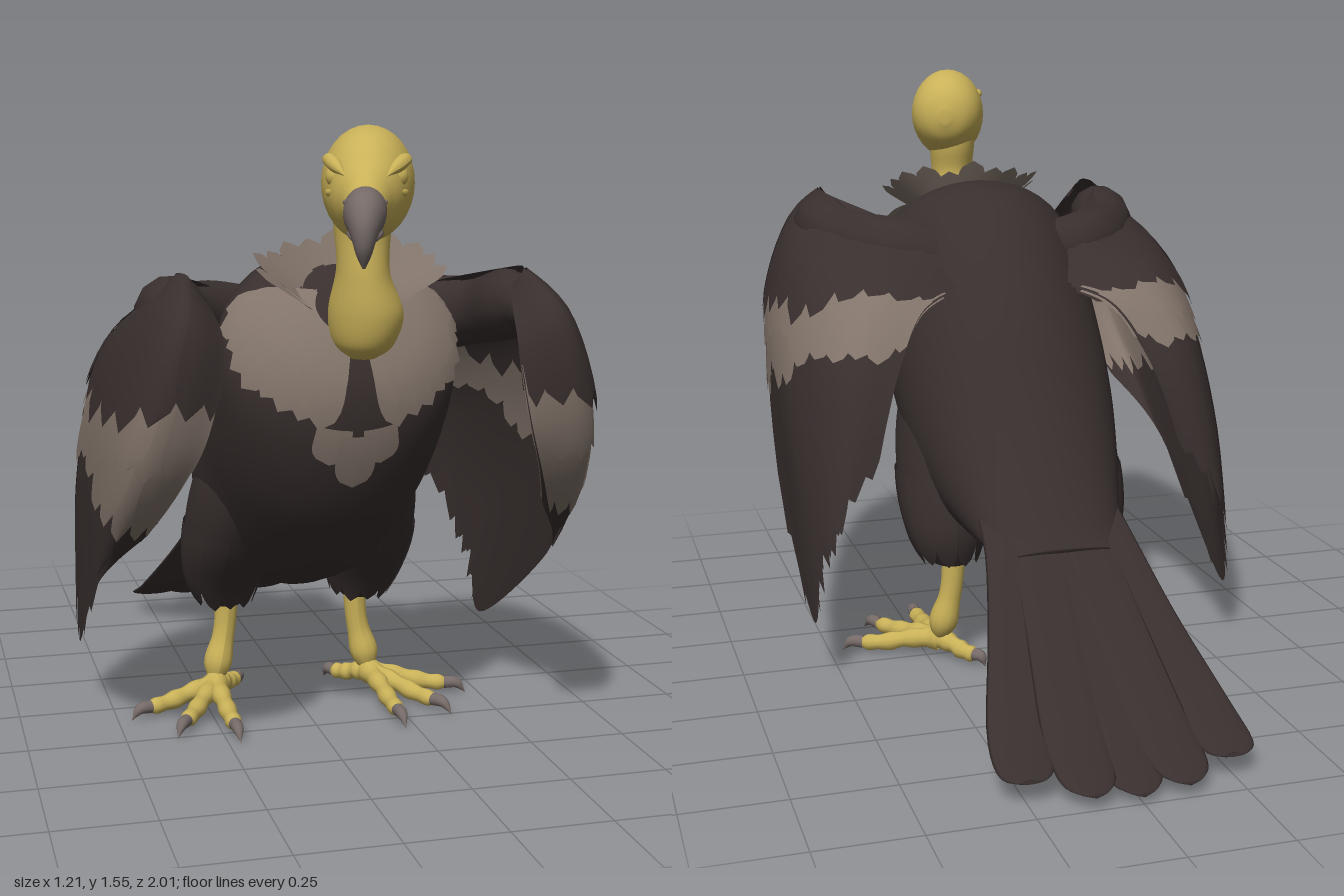
import * as THREE from 'three';
import { mergeGeometries } from 'three/addons/utils/BufferGeometryUtils.js';

const mat = (name, color) => Object.assign(new THREE.MeshStandardMaterial({ color, side: THREE.DoubleSide }), { name });
const V = (p) => new THREE.Vector3(...p);
const clamp = THREE.MathUtils.clamp;
const jitter = (k) => Math.abs(Math.sin(k * 12.99 + 4.1) * 43.7) % 1;

// Smooth interpolation through rows of numbers, t from 0 to 1
function spline(rows, t) {
  const n = rows.length - 1, f = clamp(t, 0, 1) * n, i = Math.min(Math.floor(f), n - 1), u = f - i;
  const [a, b, c, d] = [-1, 0, 1, 2].map((k) => rows[clamp(i + k, 0, n)]);
  return b.map((q, k) => {
    const p = a[k], r = c[k], s = d[k];
    return q + 0.5 * u * (r - p + u * (2 * p - 5 * q + 4 * r - s + u * (3 * (q - r) + s - p)));
  });
}
const curveOf = (values) => (t) => spline(values.map((v) => [v]), t)[0];

// Grid geometry over a surface P(s, t); wrap joins s = 1 back to s = 0
function grid(P, ns, nt, wrap = false) {
  const pos = [], idx = [], row = wrap ? ns : ns + 1;
  for (let j = 0; j <= nt; j++) for (let i = 0; i < row; i++) pos.push(...P(i / ns, j / nt));
  for (let j = 0; j < nt; j++) for (let i = 0; i < ns; i++) {
    const a = j * row + i, b = j * row + (i + 1) % row;
    idx.push(a, b, a + row, b, b + row, a + row);
  }
  const g = new THREE.BufferGeometry();
  g.setAttribute('position', new THREE.Float32BufferAttribute(pos, 3));
  g.setIndex(idx);
  g.computeVertexNormals();
  return g;
}

// Oval rings: [upper y, upper z, lower y, lower z, half width, centre x]
const ovals = (rings) => (s, t) => {
  const [y1, z1, y2, z2, w, x = 0] = spline(rings, t), a = s * Math.PI * 2, c = Math.cos(a) / 2;
  return [x + Math.sin(a) * w, (y1 + y2) / 2 + c * (y1 - y2), (z1 + z2) / 2 + c * (z1 - z2)];
};
function loft(rings, ns = 32, nt = 40) {
  const P = ovals(rings), mid = (t) => P(0, t).map((v, k) => (v + P(0.5, t)[k]) / 2);
  return grid((s, t) => {
    const j = Math.round(t * (nt + 2));
    return j === 0 ? mid(0) : j === nt + 2 ? mid(1) : P(s, (j - 1) / nt);
  }, ns, nt + 2, true);
}

// Tube whose radius follows a list of values
function taper(points, radii, n = 24) {
  const curve = new THREE.CatmullRomCurve3(points.map(V)), r = curveOf(radii);
  const g = new THREE.TubeGeometry(curve, n, 1, 12), p = g.attributes.position, v = new THREE.Vector3();
  for (let i = 0; i < p.count; i++) {
    const t = Math.floor(i / 13) / n, c = curve.getPointAt(t);
    v.fromBufferAttribute(p, i).sub(c).multiplyScalar(Math.max(r(t), 0)).add(c);
    p.setXYZ(i, v.x, v.y, v.z);
  }
  g.computeVertexNormals();
  return g;
}

// Feather lying on a surface, lifted along its normal
function feather(P, s0, half, t0, t1, base, lift) {
  return grid((u, v) => {
    const w = v < 0.6 ? 1 : Math.sqrt(Math.max(0, 1 - ((v - 0.6) / 0.4) ** 2));
    const s = clamp(s0 + (u * 2 - 1) * half * w, 0.002, 0.998), t = clamp(t0 + (t1 - t0) * v, 0.002, 0.998);
    const e = 0.002, p = V(P(s, t));
    const ds = V(P(s + e, t)).sub(V(P(s - e, t))), dt = V(P(s, t + e)).sub(V(P(s, t - e)));
    return p.addScaledVector(ds.cross(dt).normalize(), base + lift * v).toArray();
  }, 4, 10);
}

export function createModel() {
  const model = new THREE.Group();
  const dark = mat('dark plumage', 0x382f2e), tan = mat('tan plumage', 0x82746a);
  const skin = mat('yellow skin', 0xc9b158), horn = mat('grey horn', 0x756a67);
  const add = (name, geo, material, parent = model) => {
    const m = new THREE.Mesh(Array.isArray(geo) ? mergeGeometries(geo) : geo, material);
    m.name = name;
    parent.add(m);
    return m;
  };

  // Body
  const bodyRings = [
    [1.20, 0.50, 1.08, 0.60, 0.08], [1.24, 0.42, 0.95, 0.63, 0.20], [1.265, 0.32, 0.80, 0.60, 0.285],
    [1.23, 0.18, 0.62, 0.50, 0.30], [1.13, 0.05, 0.48, 0.35, 0.295], [0.95, -0.09, 0.38, 0.18, 0.285],
    [0.77, -0.20, 0.345, 0.0, 0.255], [0.60, -0.31, 0.35, -0.15, 0.215], [0.47, -0.40, 0.365, -0.30, 0.175],
    [0.42, -0.44, 0.385, -0.41, 0.14]];
  const body = ovals(bodyRings);
  add('body', loft(bodyRings, 48, 60), dark);

  // Ruff on the chest and standing collar behind the neck
  const ruff = [], collar = [];
  for (const side of [-1, 1]) for (let layer = 0; layer < 2; layer++) for (let k = 0; k < 9; k++) {
    const s = 0.5 + side * (0.058 + k * 0.031);
    ruff.push(feather(body, s, 0.03, 0.005, (layer ? 0.12 : 0.16) + 0.004 * k + 0.03 * jitter(k * 2 + layer * 9),
      0.006 + 0.008 * layer + 0.002 * (k % 2), 0.012));
  }
  const collarSurface = (s, t) => {
    const a = (s - 0.5) * 3.6;
    return [(0.1 + 0.14 * t) * Math.sin(a), 1.14 + 0.18 * t * Math.cos(a * 0.6), 0.56 - (0.08 + 0.09 * t) * Math.cos(a)];
  };
  for (let k = 0; k < 11; k++)
    collar.push(feather(collarSurface, 0.05 + k * 0.09, 0.06, 0, 0.72 + 0.28 * jitter(k), 0.004 * (k % 2), 0));
  add('ruff', ruff, tan);
  add('collar', collar, tan);
  add('chestPatch', [-1, 0, 1].map((k) =>
    feather(body, 0.5 + k * 0.034, 0.026, k ? 0.18 : 0.19, k ? 0.24 : 0.272, 0.004 + (k ? 0 : 0.003), 0.004)), tan);

  // Neck
  add('neck', loft([
    [1.44, 0.55, 1.44, 0.73, 0.075, 0], [1.34, 0.56, 1.32, 0.72, 0.064, 0], [1.25, 0.575, 1.22, 0.725, 0.06, 0],
    [1.15, 0.52, 1.13, 0.725, 0.085, 0.015], [1.07, 0.52, 1.06, 0.70, 0.07, 0.012], [1.03, 0.58, 1.03, 0.65, 0.03, 0.01]]), skin);

  // Head, turned a little to its right
  const head = new THREE.Group();
  head.name = 'head';
  head.position.set(0.01, 0, 0.65);
  head.rotation.y = -0.31;
  model.add(head);
  const upright = (list) => list.map(([z, top, bottom, w]) => [top, z, bottom, z, w]);
  add('skull', loft(upright([
    [0.28, 1.425, 1.335, 0.038], [0.24, 1.445, 1.33, 0.047], [0.19, 1.475, 1.322, 0.06], [0.14, 1.52, 1.312, 0.08],
    [0.08, 1.55, 1.305, 0.098], [0, 1.56, 1.305, 0.105], [-0.07, 1.54, 1.33, 0.094], [-0.115, 1.50, 1.365, 0.062],
    [-0.135, 1.45, 1.41, 0.015]])), skin, head);
  add('beak', loft([
    [1.268, 0.34, 1.268, 0.335, 0.003], [1.31, 0.365, 1.285, 0.325, 0.016], [1.36, 0.368, 1.31, 0.315, 0.027],
    [1.405, 0.345, 1.322, 0.30, 0.038], [1.428, 0.31, 1.325, 0.285, 0.045], [1.435, 0.25, 1.33, 0.25, 0.046]]), horn, head);
  add('lowerBeak', loft(upright([[0.325, 1.33, 1.325, 0.012], [0.29, 1.34, 1.315, 0.03], [0.24, 1.35, 1.32, 0.04]]), 20, 12), horn, head);
  for (const side of [-1, 1]) {
    const eye = add('eye', new THREE.SphereGeometry(0.026, 20, 14), skin, head);
    eye.position.set(side * 0.064, 1.45, 0.125);
    add('brow', taper([[side * 0.088, 1.475, 0.06], [side * 0.085, 1.486, 0.105], [side * 0.066, 1.472, 0.15], [side * 0.042, 1.45, 0.19]],
      [0, 0.014, 0.014, 0]), skin, head);
    add('cheekFold', taper([[side * 0.09, 1.42, 0.07], [side * 0.079, 1.415, 0.125], [side * 0.054, 1.425, 0.175]],
      [0, 0.01, 0]), skin, head);
    const nostril = add('nostril', new THREE.SphereGeometry(0.006, 10, 8), horn, head);
    nostril.position.set(side * 0.042, 1.40, 0.245);
  }

  // Tail fan
  add('tail', [-1, -0.46, 0, 0.46, 1].map((f, k) => {
    const q = f ** 4, up = 0.035 * f * f + 0.004 * (k % 2);
    return loft([[-0.26, 0.50, 0.10, 0.085], [-0.42, 0.41, 0.12, 0.08], [-0.6, 0.265, 0.165, 0.077], [-0.8, 0.11, 0.225, 0.075],
      [-0.93, 0.05, 0.243, 0.068], [-0.985, 0.035, 0.243, 0.038], [-1, 0.03, 0.243, 0.008]].map(([z, y, x, w], i) => {
      const zz = z + 0.065 * q * i / 6, th = i > 4 ? 0.005 : 0.013;
      return [y + th + up * i / 6, zz, y - th + up * i / 6, zz - th / 2, w, x * f];
    }), 16, 24);
  }), dark);

  // Wings: columns run from the ridge over the outside to the lower edge, front to rear
  const columns = [
    [[0.37, 1.19, 0.62], [0.345, 1.08, 0.73], [0.375, 0.90, 0.74], [0.43, 0.76, 0.68], [0.49, 0.63, 0.58]],
    [[0.40, 1.23, 0.62], [0.45, 1.13, 0.75], [0.515, 0.92, 0.74], [0.555, 0.72, 0.63], [0.58, 0.47, 0.38]],
    [[0.40, 1.22, 0.50], [0.515, 1.10, 0.50], [0.575, 0.90, 0.45], [0.59, 0.62, 0.24], [0.575, 0.165, -0.10]],
    [[0.26, 1.16, 0.27], [0.475, 1.08, 0.25], [0.56, 0.88, 0.15], [0.58, 0.60, 0], [0.55, 0.29, -0.17]],
    [[0.20, 1.10, 0.13], [0.385, 1.02, 0.03], [0.47, 0.85, -0.07], [0.50, 0.65, -0.14], [0.515, 0.43, -0.19]],
    [[0.10, 1.02, 0.05], [0.25, 0.97, -0.03], [0.33, 0.85, -0.1], [0.38, 0.72, -0.15], [0.42, 0.57, -0.18]]];
  const bandTop = curveOf([0.39, 0.48, 0.48, 0.41, 0.29, 0.2]);
  const bandEnd = curveOf([0.96, 0.82, 0.66, 0.58, 0.5, 0.46]);
  const sheetEdge = curveOf([1, 1, 0.99, 0.93, 0.9, 0.9]);
  for (const side of [-1, 1]) {
    const wing = new THREE.Group();
    wing.name = side > 0 ? 'leftWing' : 'rightWing';
    model.add(wing);
    const P = (s, t) => {
      const p = spline(columns.map((c) => spline(c, t)), s);
      return [p[0] * side, p[1], p[2]];
    };
    add('wingSheet', grid((s, t) => P(s, t * sheetEdge(s)), 50, 30), dark, wing);
    // Each row covers both faces of the sheet
    const row = (name, material, count, from, to, base, lift) => {
      const list = [];
      for (const face of [-1, 1]) for (let k = 0; k < count; k++) {
        const s = (k + 0.5) / count, out = face * side;
        list.push(feather(P, s, 0.72 / count, from(s), to(s, jitter(k + count)), out * (base + 0.002 * (k % 2)), out * lift));
      }
      add(name, list, material, wing);
    };
    row('flightFeathers', dark, 12, () => 0.45, (s, j) => 1 - 0.05 * j, 0.002, 0.006);
    row('lowerBandFeathers', tan, 15, bandTop, (s, j) => bandEnd(s) + 0.06 * (j - 0.4), 0.006, 0.006);
    row('upperBandFeathers', tan, 17, (s) => bandTop(s) - 0.06, (s, j) => (bandTop(s) + bandEnd(s)) / 2 + 0.05 * (j - 0.4), 0.009, 0.006);
    row('covertFeathers', dark, 14, () => 0.03, (s, j) => bandTop(s) + 0.07 * j, 0.002, 0.022);
    add('wingArm', taper([[0.12, 1.05, 0.2], [0.27, 1.08, 0.24], [0.39, 1.11, 0.4], [0.42, 1.14, 0.56], [0.41, 1.09, 0.69]]
      .map(([x, y, z]) => [x * side, y, z]), [0.1, 0.1, 0.085, 0.08, 0.0]), dark, wing);
  }

  // Legs and feet
  for (const side of [-1, 1]) {
    const leg = new THREE.Group();
    leg.name = side > 0 ? 'leftLeg' : 'rightLeg';
    model.add(leg);
    const at = (list) => list.map(([x, y, z]) => [x * side, y, z]);
    const thighRings = [[0.78, -0.06, 0.78, 0.36, 0.08, 0.16], [0.64, -0.1, 0.64, 0.32, 0.115, 0.175], [0.5, -0.12, 0.48, 0.22, 0.12, 0.187],
      [0.37, -0.12, 0.36, 0.1, 0.09, 0.195], [0.28, -0.08, 0.28, 0.03, 0.046, 0.188]].map((r) => [...r.slice(0, 5), r[5] * side]);
    const thigh = ovals(thighRings);
    add('thigh', loft(thighRings), dark, leg);
    add('thighFeathers', Array.from({ length: 11 }, (_, k) =>
      feather(thigh, (k + 0.5) / 11, 0.05, 0.45, 0.99 - 0.08 * jitter(k), 0.003 + 0.002 * (k % 2), 0.02)), dark, leg);
    add('shank', taper(at([[0.178, 0.33, -0.03], [0.188, 0.2, -0.03], [0.21, 0.1, -0.02], [0.222, 0.03, 0]]),
      [0.034, 0.031, 0.031, 0.038, 0]), skin, leg);
    for (const [x, z] of [[0.22, 0.33], [0.37, 0.26], [0.465, 0.1], [0.12, -0.13]]) {
      const on = (f, y) => [0.22 + (x - 0.22) * f, y, z * f];
      add('toe', taper(at([on(0, 0.055), on(0.3, 0.048), on(0.55, 0.036), on(0.8, 0.032), on(0.86, 0.03)]),
        [0.036, 0.026, 0.027, 0.021, 0.025, 0.02, 0.021, 0], 32), skin, leg);
      add('claw', taper(at([on(0.78, 0.034), on(0.9, 0.034), on(1, 0.008)]), [0.017, 0.014, 0.001], 12), horn, leg);
    }
  }
  return model;
}
